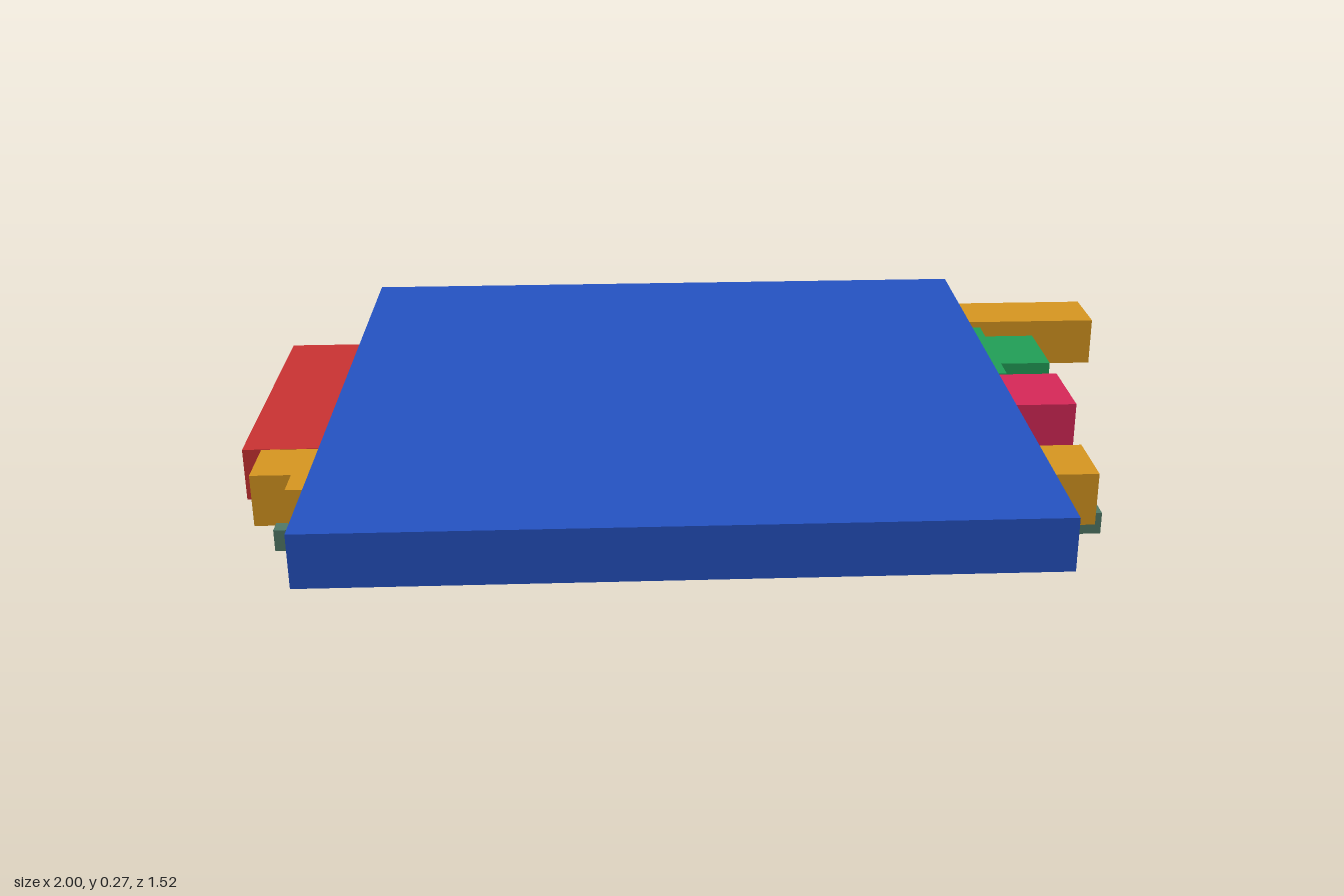
import * as THREE from 'three';

const BLUE = 0x2553c4, ORANGE = 0xd99820, RED = 0xcc3333, GREEN = 0x22a058;
const PINK = 0xd92859, BOARD = 0x527a68, GREY = 0x646b78;

// Box given by its [min, max] range on each axis
function block(name, color, [x0, x1], [y0, y1], [z0, z1]) {
  const mesh = new THREE.Mesh(
    new THREE.BoxGeometry(x1 - x0, y1 - y0, z1 - z0),
    new THREE.MeshStandardMaterial({ color, flatShading: true })
  );
  mesh.position.set((x0 + x1) / 2, (y0 + y1) / 2, (z0 + z1) / 2);
  mesh.name = name;
  return mesh;
}

export function createModel() {
  const model = new THREE.Group();
  model.name = 'layeredBoard';

  // Main slab; the coloured blocks pass through it, set back a hair to avoid flicker
  model.add(block('mainSlab', BLUE, [-0.84, 0.685], [0.15, 0.266], [-0.763, 0.76]));
  const inset = (k) => [0.15 + k * 0.0007, 0.266 - k * 0.0007];

  // [name, colour, x range, z range, inset step]
  const blocks = [
    ['backArm', ORANGE, [-0.03, 1], [-0.553, -0.402], 1],
    ['frontBeam', ORANGE, [-0.875, 0.775], [0.4, 0.553], 1],
    ['bracketSide', ORANGE, [-0.96, -0.82], [-0.2, 0.4], 2],
    ['bracketFront', ORANGE, [-0.96, -0.2], [0.34, 0.477], 2],
    ['redBlock', RED, [-1, -0.1], [-0.31, 0.342], 1],
    ['greenBody', GREEN, [-0.35, 0.705], [-0.363, -0.035], 2],
    ['greenTab', GREEN, [0.6, 0.822], [-0.295, -0.1], 2],
    ['pinkBlock', PINK, [0.3, 0.822], [-0.03, 0.165], 3],
  ];
  for (const [name, color, x, z, k] of blocks) model.add(block(name, color, x, inset(k), z));

  // Thin board beneath
  model.add(block('baseBoard', BOARD, [-0.915, 0.8], [0.11, 0.157], [-0.515, 0.512]));

  // Two staggered feet
  model.add(block('footRight', GREY, [-0.6, -0.043], [0, 0.11], [-0.145, 0.175]));
  model.add(block('footLeft', GREY, [0.053, 0.652], [0, 0.11], [0.09, 0.413]));

  return model;
}
